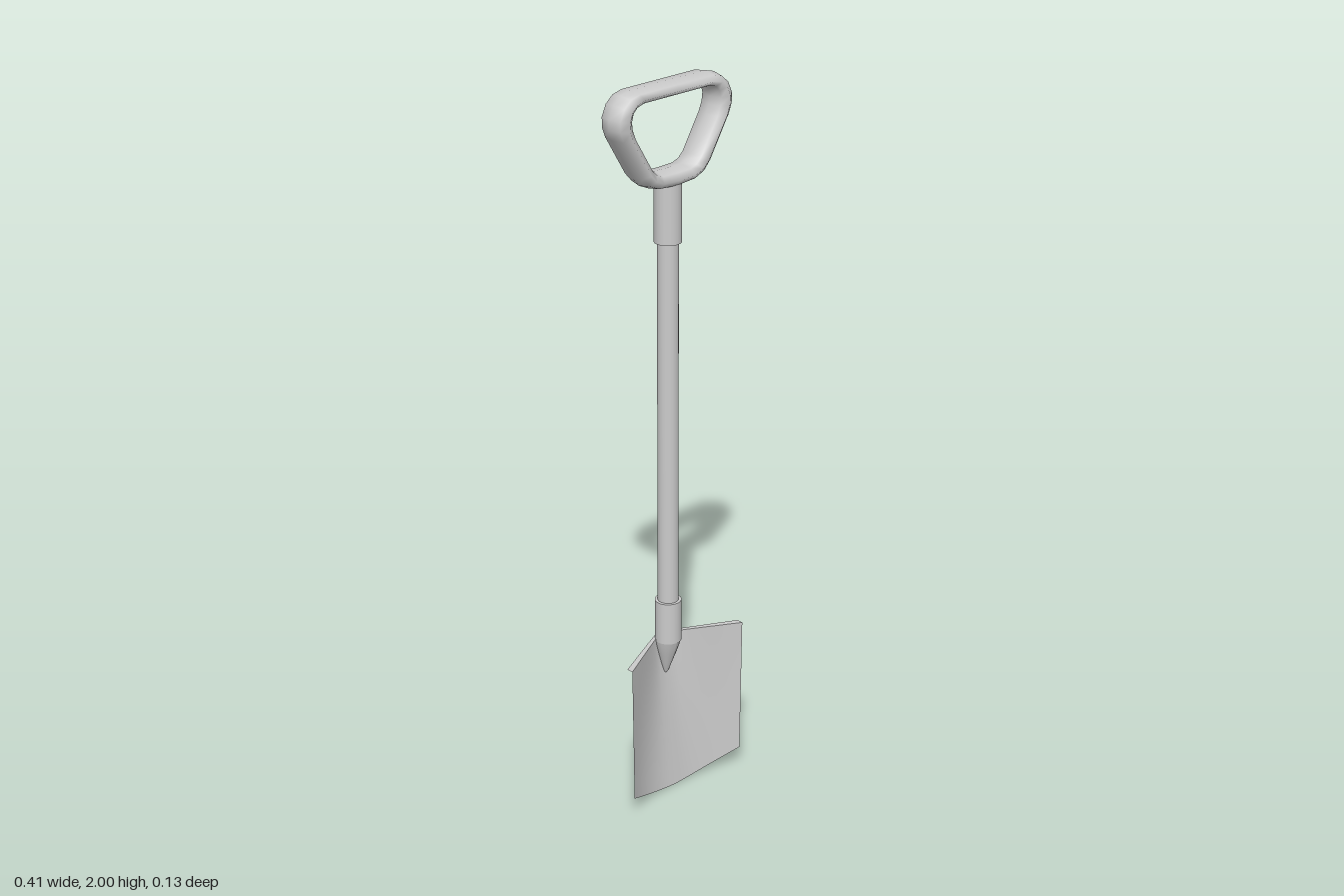
import * as THREE from 'three';

const AXIS_Z = -0.017;

// Indexed grid of points p(i, j), optionally closed in both directions
function gridGeometry(nu, nv, point, closed = false) {
  const pos = [], idx = [];
  for (let i = 0; i < nu; i++) for (let j = 0; j < nv; j++) pos.push(...point(i, j));
  const id = (i, j) => (i % nu) * nv + (j % nv);
  for (let i = 0; i < (closed ? nu : nu - 1); i++) {
    for (let j = 0; j < (closed ? nv : nv - 1); j++) {
      const a = id(i, j), b = id(i + 1, j), c = id(i + 1, j + 1), d = id(i, j + 1);
      idx.push(a, b, d, b, c, d);
    }
  }
  const g = new THREE.BufferGeometry();
  g.setAttribute('position', new THREE.Float32BufferAttribute(pos, 3));
  g.setIndex(idx);
  g.computeVertexNormals();
  return g;
}

export function createModel() {
  const group = new THREE.Group();
  const grey = new THREE.MeshStandardMaterial({ color: 0xcccccc });
  const add = (name, geometry, parent = group) => {
    const mesh = new THREE.Mesh(geometry, grey);
    mesh.name = name;
    parent.add(mesh);
    return mesh;
  };

  // Shaft and the sleeve under the grip
  add('shaft', new THREE.CylinderGeometry(0.028, 0.028, 1.12, 20)).position.set(0, 1.07, AXIS_Z);
  add('gripSleeve', new THREE.CylinderGeometry(0.036, 0.036, 0.17, 20)).position.set(0, 1.665, AXIS_Z);

  // Socket: straight tube, then a pointed end that leans into the blade
  add('socket', new THREE.CylinderGeometry(0.036, 0.036, 0.12, 20)).position.set(0, 0.505, AXIS_Z);
  const profile = [[0, 0.335], [0.007, 0.345], [0.016, 0.375], [0.025, 0.405], [0.032, 0.43], [0.036, 0.45]];
  const tip = new THREE.LatheGeometry(profile.map(([r, y]) => new THREE.Vector2(r, y)), 20);
  const p = tip.attributes.position;
  for (let i = 0; i < p.count; i++) {
    p.setZ(i, p.getZ(i) + AXIS_Z - 0.01 * (0.45 - p.getY(i)) / 0.115);
  }
  tip.computeVertexNormals();
  add('socketTip', tip);

  // Closed grip loop: outer and inner outline stations of the right half, top to bottom
  const half = [
    [0, 2, 0, 1.966], [0.127, 2, 0.108, 1.966], [0.157, 1.992, 0.128, 1.96],
    [0.181, 1.972, 0.139, 1.948], [0.196, 1.94, 0.143, 1.93], [0.196, 1.912, 0.14, 1.91],
    [0.186, 1.885, 0.13, 1.885], [0.12, 1.775, 0.076, 1.795], [0.098, 1.75, 0.062, 1.782],
    [0.064, 1.735, 0.044, 1.776], [0, 1.73, 0, 1.775],
  ];
  const mirrored = half.slice(1, -1).reverse().map(([ox, oy, ix, iy]) => [-ox, oy, -ix, iy]);
  const loop = [...half, ...mirrored];
  const sides = 8;
  add('grip', gridGeometry(loop.length, sides, (i, j) => {
    const [ox, oy, ix, iy] = loop[i];
    const a = (j / sides) * Math.PI * 2;
    const t = 0.5 + 0.5 * Math.cos(a);
    return [ix + (ox - ix) * t, iy + (oy - iy) * t, AXIS_Z - 0.048 * Math.sin(a)];
  }, true));

  // Blade: folded sheet, deep at the top and shallow at the curved cutting edge
  const blade = new THREE.Group();
  blade.name = 'blade';
  group.add(blade);
  const NU = 21, NV = 9;
  const lerp = THREE.MathUtils.lerp;
  const bladePoint = (u, v, front) => {
    const y = lerp(0.45, 0.06 * u * u, v);
    const k = (0.45 - y) / 0.45;
    const centre = front ? lerp(-0.037, 0.01, k) : lerp(-0.048, 0.005, k);
    const edge = front ? 0.062 : lerp(0.043, 0.058, k);
    const bend = Math.max(0, (Math.abs(u) - 0.1) / 0.9) ** lerp(1.02, 2, k);
    return [u * lerp(0.203, 0.197, k), y, lerp(centre, edge, bend)];
  };
  const uAt = (i) => (i / (NU - 1)) * 2 - 1;
  const vAt = (j) => j / (NV - 1);
  add('bladeFront', gridGeometry(NU, NV, (i, j) => bladePoint(uAt(i), 1 - vAt(j), true)), blade);
  add('bladeBack', gridGeometry(NU, NV, (i, j) => bladePoint(uAt(i), vAt(j), false)), blade);

  // Rim strips that close the sheet's thickness, each facing outwards
  add('bladeTopEdge', gridGeometry(NU, 2, (i, j) => bladePoint(uAt(i), 0, j === 0)), blade);
  add('bladeCuttingEdge', gridGeometry(NU, 2, (i, j) => bladePoint(uAt(i), 1, j === 1)), blade);
  add('bladeLeftEdge', gridGeometry(NV, 2, (i, j) => bladePoint(1, vAt(i), j === 1)), blade);
  add('bladeRightEdge', gridGeometry(NV, 2, (i, j) => bladePoint(-1, vAt(i), j === 0)), blade);

  return group;
}
